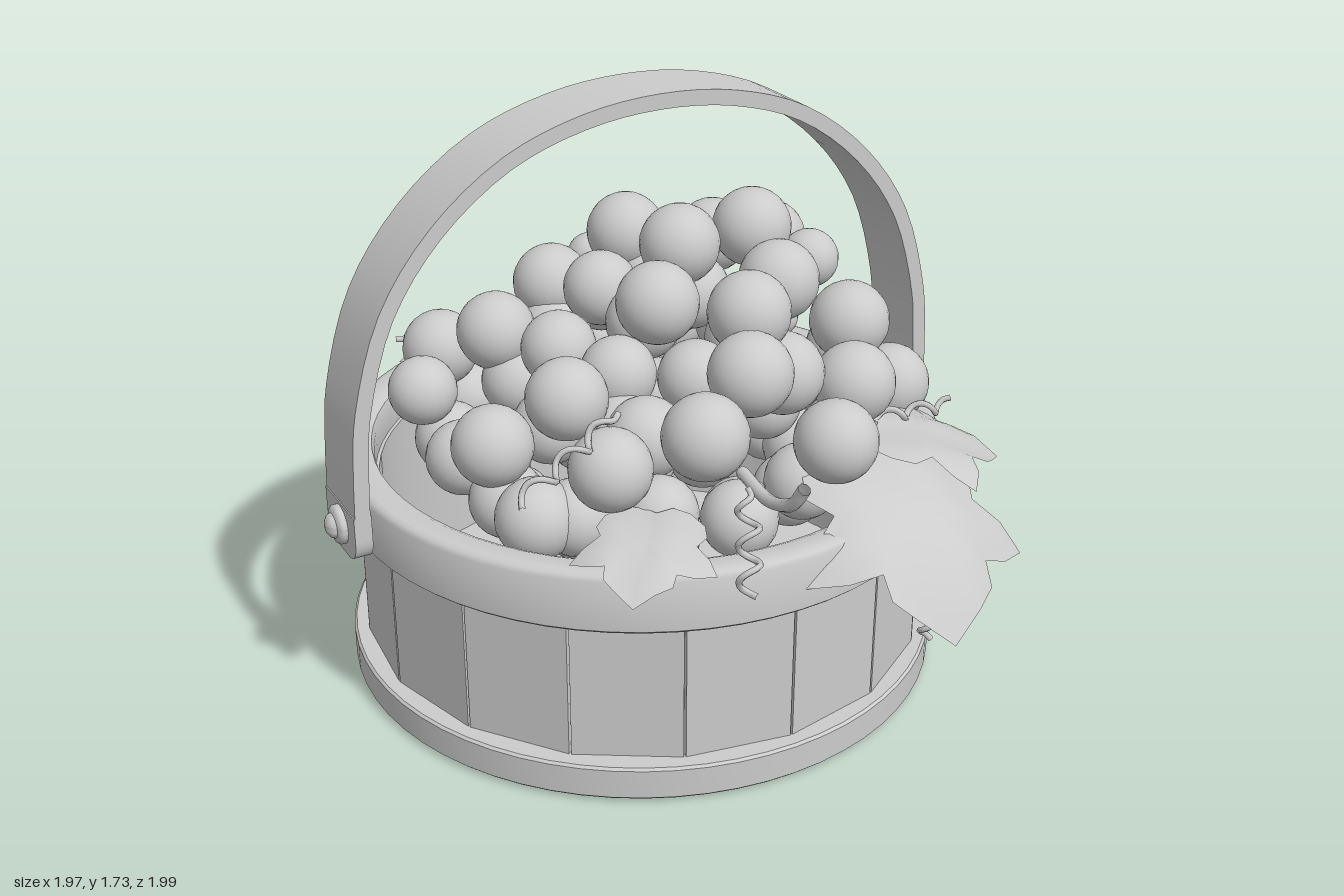
import * as THREE from 'three';
import { toCreasedNormals } from 'three/addons/utils/BufferGeometryUtils.js';

const material = new THREE.MeshStandardMaterial({ color: 0xcccccc });
const thin = new THREE.MeshStandardMaterial({ color: 0xcccccc, side: THREE.DoubleSide });
const CZ = -0.118; // basket axis

function add(parent, name, geometry, mat = material) {
  const mesh = new THREE.Mesh(geometry, mat);
  mesh.name = name;
  parent.add(mesh);
  return mesh;
}

function lathe(points) {
  return toCreasedNormals(new THREE.LatheGeometry(points.map(p => new THREE.Vector2(...p)), 64), 0.7);
}

// Lobed leaf: rings from the centre to a mirrored outline, folded at the midrib and drooping to the tip
function leafGeometry(droop) {
  const half = [[0, 0], [0.12, -0.07], [0.26, -0.05], [0.4, 0.08], [0.44, 0.22], [0.38, 0.34], [0.5, 0.46],
    [0.58, 0.6], [0.42, 0.66], [0.28, 0.66], [0.27, 0.78], [0.15, 0.88], [0, 1]];
  const outline = [...half, ...half.slice(1, -1).reverse().map(([u, v]) => [-u, v])];
  const n = outline.length, rings = 6, positions = [], index = [];
  for (let r = 0; r <= rings; r++) {
    for (const [pu, pv] of outline) {
      const t = r / rings, u = pu * t, v = 0.35 + (pv - 0.35) * t;
      const y = 0.12 * Math.sqrt(u * u + 0.002) - droop * u * u * 1.5 + droop * v * (1 - v) + 0.015 * Math.sin(u * 14) * t;
      positions.push(u, y, v);
    }
  }
  for (let r = 0; r < rings; r++) {
    for (let i = 0; i < n; i++) {
      const a = r * n + i, b = r * n + (i + 1) % n;
      index.push(a, b, a + n, b, b + n, a + n);
    }
  }
  const g = new THREE.BufferGeometry();
  g.setAttribute('position', new THREE.Float32BufferAttribute(positions, 3));
  g.setIndex(index);
  g.computeVertexNormals();
  return g;
}

function addLeaf(parent, name, base, tip, droop, roll = 0) {
  const a = new THREE.Vector3(...base), b = new THREE.Vector3(...tip);
  const mesh = add(parent, name, leafGeometry(droop), thin);
  mesh.position.copy(a);
  mesh.lookAt(b);
  mesh.rotateZ(roll);
  mesh.scale.setScalar(a.distanceTo(b));
}

// Loose corkscrew tendril between two points
function addTendril(parent, name, from, to, turns, radius) {
  const a = new THREE.Vector3(...from), b = new THREE.Vector3(...to);
  const dir = b.clone().sub(a).normalize();
  const side = new THREE.Vector3(0.3, 0.2, 1).cross(dir).normalize();
  const up = dir.clone().cross(side);
  const points = [], count = Math.round(turns * 8);
  for (let i = 0; i <= count; i++) {
    const t = i / count, w = t * turns * Math.PI * 2, r = radius * Math.min(1, t * 5);
    points.push(a.clone().lerp(b, t).addScaledVector(side, r * Math.cos(w)).addScaledVector(up, r * Math.sin(w)));
  }
  add(parent, name, new THREE.TubeGeometry(new THREE.CatmullRomCurve3(points), count * 2, 0.009, 6));
}

export function createModel() {
  const model = new THREE.Group();
  model.name = 'fruitBasket';

  // Basket body
  const basket = new THREE.Group();
  basket.name = 'basket';
  basket.position.z = CZ;
  model.add(basket);
  add(basket, 'baseHoop', lathe([[0, 0], [0.84, 0.003], [0.868, 0.006], [0.876, 0.014], [0.876, 0.1],
    [0.869, 0.107], [0.8, 0.107]]));
  add(basket, 'innerWall', lathe([[0.795, 0.05], [0.795, 0.6], [0.77, 0.6], [0.77, 0.06], [0, 0.06]]));
  add(basket, 'rimHoop', lathe([[0.79, 0.53], [0.868, 0.53], [0.879, 0.54], [0.879, 0.685],
    [0.872, 0.698], [0.858, 0.704], [0.805, 0.704], [0.787, 0.695], [0.78, 0.675], [0.78, 0.55], [0.79, 0.53]]));

  // Flat upright slats
  const slats = 17, step = Math.PI * 2 / slats;
  for (let i = 0; i < slats; i++) {
    const angle = 0.006 + (i + 0.5) * step;
    const slat = add(basket, 'slat', new THREE.BoxGeometry(0.302, 0.46, 0.04));
    slat.position.set(Math.sin(angle) * 0.806 + 0.008, 0.32, Math.cos(angle) * 0.806 - 0.008);
    slat.rotation.y = angle;
  }

  // Bent handle band
  const handle = new THREE.Group();
  handle.name = 'handle';
  handle.position.z = -0.106;
  model.add(handle);
  const right = [[0.915, 0.68], [0.908, 0.84], [0.892, 0.99], [0.81, 1.25], [0.662, 1.452], [0.455, 1.607], [0.23, 1.684]];
  const path = [...right, [0, 1.707], ...right.slice().reverse().map(([x, y]) => [-x, y])];
  const curve = new THREE.CatmullRomCurve3(path.map(([x, y]) => new THREE.Vector3(x, y, 0)));
  const outer = [], inner = [];
  for (let i = 0; i <= 56; i++) {
    const p = curve.getPoint(i / 56), t = curve.getTangent(i / 56);
    outer.push(new THREE.Vector2(p.x + t.y * 0.022, p.y - t.x * 0.022));
    inner.push(new THREE.Vector2(p.x - t.y * 0.022, p.y + t.x * 0.022));
  }
  const band = new THREE.ExtrudeGeometry(new THREE.Shape([...outer, ...inner.reverse()]), { depth: 0.22, bevelEnabled: false });
  band.translate(0, 0, -0.11);
  add(handle, 'handleBand', toCreasedNormals(band, 0.6));

  // Rounded handle ends with rivets
  const tab = new THREE.Shape();
  tab.moveTo(-0.11, 0.69);
  tab.lineTo(-0.11, 0.62);
  tab.quadraticCurveTo(-0.11, 0.545, -0.04, 0.545);
  tab.lineTo(0.04, 0.545);
  tab.quadraticCurveTo(0.11, 0.545, 0.11, 0.62);
  tab.lineTo(0.11, 0.69);
  for (const s of [-1, 1]) {
    const end = add(handle, 'handleEnd', toCreasedNormals(new THREE.ExtrudeGeometry(tab, { depth: 0.05, bevelEnabled: false }), 0.6));
    end.rotation.y = Math.PI / 2;
    end.position.x = s * 0.915 - 0.025;
    const rivet = add(handle, 'rivet', lathe([[0.056, 0], [0.056, 0.014], [0.05, 0.022], [0.036, 0.026], [0.032, 0.036], [0.018, 0.045], [0, 0.048]]));
    rivet.rotation.z = -s * Math.PI / 2;
    rivet.position.set(s * 0.938, 0.625, 0);
  }

  // Grapes: x, y, z, radius
  const grapes = new THREE.Group();
  grapes.name = 'grapes';
  model.add(grapes);
  function grape(x, y, z, r = 0.113) {
    add(grapes, 'grape', new THREE.SphereGeometry(r, 24, 16)).position.set(x, y, z);
  }
  const crown = [[0.05, 1.3, 0.02], [0.295, 1.3, 0], [-0.12, 1.225, 0.2], [0.065, 1.22, 0.365], [0.255, 1.22, 0.21],
    [-0.03, 1.13, 0.53], [0.03, 1.25, -0.26], [0.38, 1.14, -0.36], [0.55, 1.12, -0.31], [-0.17, 1.1, -0.345], [0.46, 1.19, 0.05, 0.085]];
  const frontPile = [[-0.23, 1.05, 0.645], [0.165, 0.94, 0.645], [0.335, 1.0, 0.475], [0.455, 1.08, 0.27], [0.6, 0.86, 0.28],
    [-0.39, 1.0, 0.19], [-0.37, 0.88, 0.4], [-0.57, 0.865, 0.1], [-0.53, 0.72, 0.28], [-0.21, 0.89, 0.3],
    [0.6, 0.87, 0.04], [0.14, 1.05, 0.42]];
  const backPile = [[-0.46, 0.89, -0.51], [-0.59, 0.85, -0.34, 0.1], [-0.385, 1.02, -0.27], [0.11, 0.93, -0.545, 0.125],
    [0.05, 0.71, -0.71, 0.125], [-0.14, 0.82, -0.55], [-0.16, 0.75, -0.7], [0.355, 0.81, -0.585, 0.12],
    [-0.06, 0.945, -0.68, 0.06], [-0.095, 1.06, -0.565, 0.055], [0, 1.12, -0.43, 0.07], [0.69, 0.77, -0.44, 0.055]];
  for (const g of [...crown, ...frontPile, ...backPile]) grape(...g);
  // Inner layers that fill the mound: count, ring radius, height
  for (const [count, ring, y] of [[16, 0.57, 0.71], [10, 0.37, 0.86], [8, 0.28, 1.0], [4, 0.13, 1.12], [12, 0.45, 0.6], [6, 0.2, 0.7]]) {
    for (let i = 0; i < count; i++) {
      const a = (i + y * 3) / count * Math.PI * 2;
      grape(Math.cos(a) * ring, y + 0.025 * Math.sin(i * 2.4), Math.sin(a) * ring - 0.08, 0.107);
    }
  }

  // Leaves, tendrils and stem
  const vine = new THREE.Group();
  vine.name = 'vine';
  model.add(vine);
  addLeaf(vine, 'largeFrontLeaf', [0.39, 0.8, 0.5], [0.33, 0.45, 0.99], 0.5, -0.15);
  addLeaf(vine, 'rightFrontLeaf', [0.34, 0.87, 0.5], [0.74, 0.73, 0.61], 0.3);
  addLeaf(vine, 'leftFrontLeaf', [-0.3, 0.79, 0.52], [-0.5, 0.69, 0.76], 0.3);
  addLeaf(vine, 'backLeaf', [-0.34, 0.77, -0.65], [-0.38, 0.74, -0.88], 0.4);
  addTendril(vine, 'hangingTendril', [0.5, 0.64, 0.68], [0.49, 0.23, 0.67], 4, 0.022);
  addTendril(vine, 'leftTendril', [-0.33, 1.02, 0.37], [-0.69, 0.93, 0.53], 3, 0.022);
  addTendril(vine, 'rightTendril', [0.34, 0.89, 0.5], [0.69, 0.84, 0.45], 3, 0.018);
  addTendril(vine, 'frontCurl', [-0.1, 0.87, 0.64], [-0.18, 0.65, 0.79], 3, 0.028);
  addTendril(vine, 'backTendril', [-0.28, 0.8, -0.62], [-0.43, 0.76, -0.95], 3, 0.022);
  addTendril(vine, 'backRightTendril', [0.47, 0.82, -0.4], [0.8, 0.78, -0.62], 3, 0.022);
  addTendril(vine, 'backRightCurl', [0.46, 0.8, -0.42], [0.52, 0.83, -0.66], 2.5, 0.028);
  const stemPath = new THREE.CatmullRomCurve3([[0, 0.8, 0.45], [-0.02, 0.8, 0.62], [-0.025, 0.85, 0.74], [-0.02, 0.91, 0.78]]
    .map(p => new THREE.Vector3(...p)));
  add(vine, 'stem', new THREE.TubeGeometry(stemPath, 16, 0.018, 8), thin);
  return model;
}
